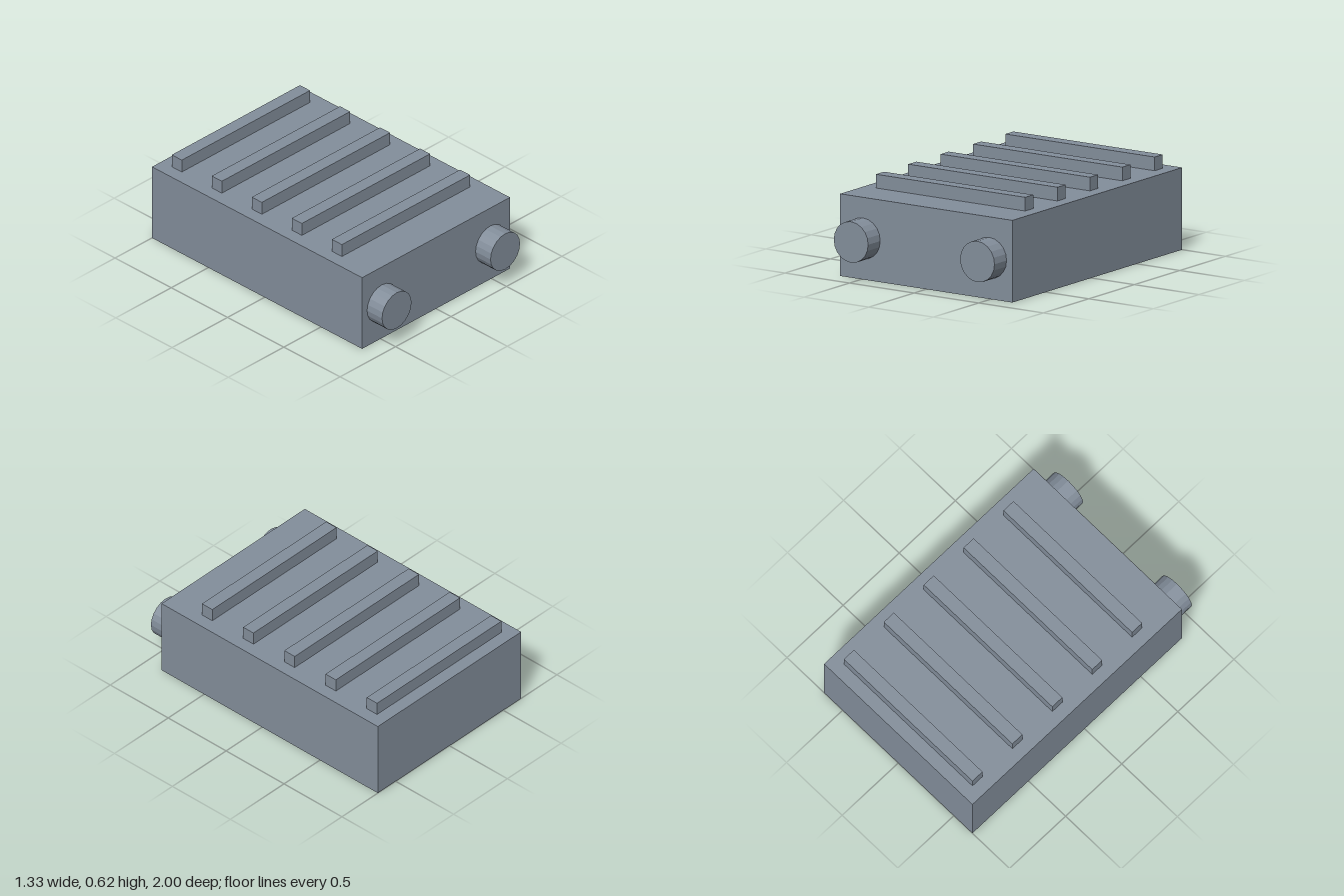
import * as THREE from 'three';

export function createModel() {
  const group = new THREE.Group();
  const material = new THREE.MeshStandardMaterial({ color: 0x838e9b, flatShading: true });

  const add = (name, geometry, x, y, z) => {
    const mesh = new THREE.Mesh(geometry, material);
    mesh.name = name;
    mesh.position.set(x, y, z);
    group.add(mesh);
  };

  const width = 1.333, height = 0.533, back = -1, front = 0.867;

  // Main block
  add('body', new THREE.BoxGeometry(width, height, front - back), 0, height / 2, (front + back) / 2);

  // Five evenly spaced ribs across the top
  const rib = new THREE.BoxGeometry(1.156, 0.089, 0.089);
  for (let i = 0; i < 5; i++) {
    add(`rib${i + 1}`, rib, 0, height + 0.0445, -0.867 + i * 0.3556);
  }

  // Round stubs on the front face
  const stub = new THREE.CylinderGeometry(0.133, 0.133, 1 - front, 20).rotateX(Math.PI / 2);
  add('leftStub', stub, 0.489, height / 2, (1 + front) / 2);
  add('rightStub', stub, -0.489, height / 2, (1 + front) / 2);

  return group;
}
